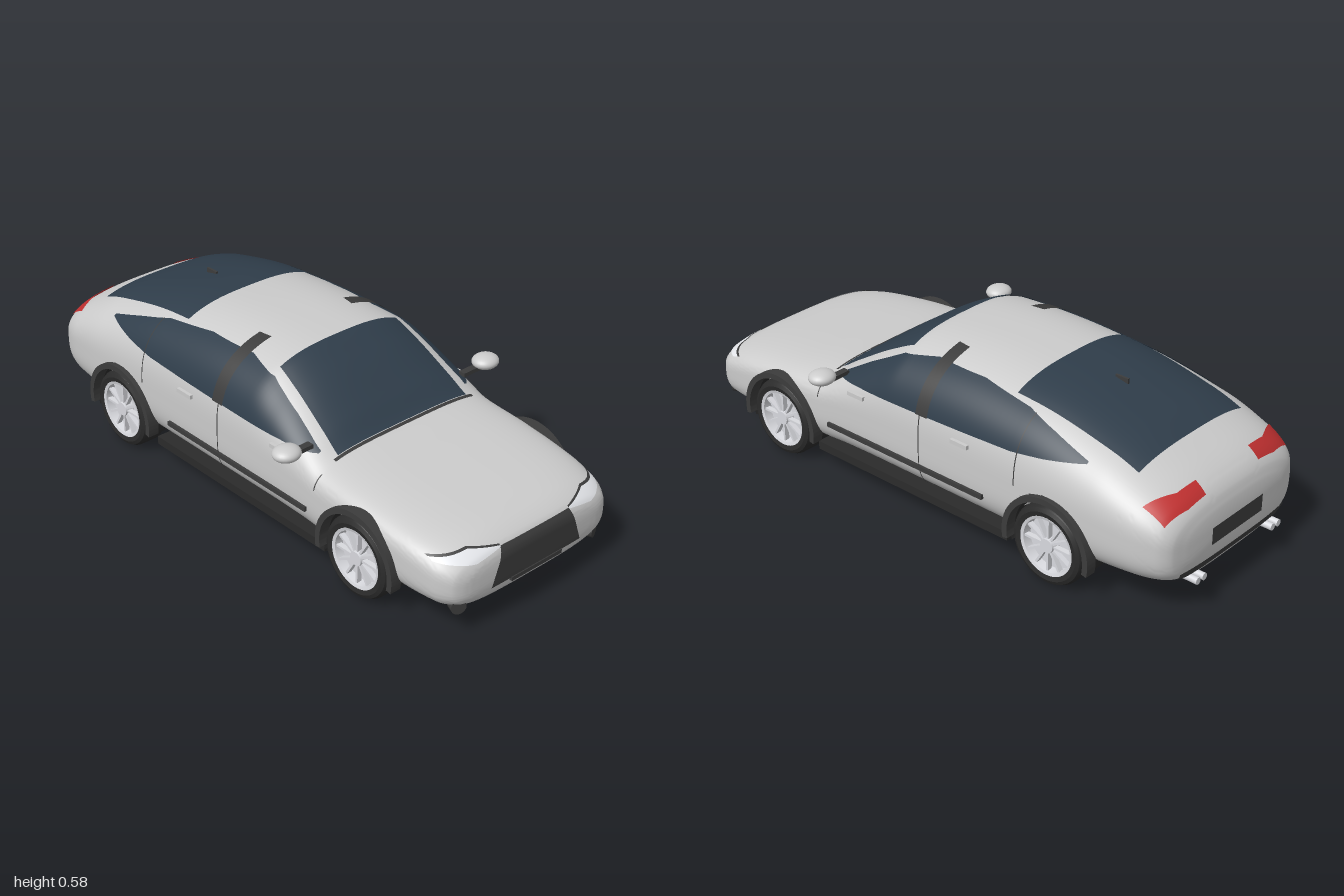
import * as THREE from 'three';
import { toCreasedNormals } from 'three/addons/utils/BufferGeometryUtils.js';

const mat = (color) => new THREE.MeshStandardMaterial({ color, side: THREE.DoubleSide });
const paint = new THREE.MeshStandardMaterial({ color: 0xcccccc });
const glass = mat(0x2f3d4a), trim = mat(0x3c3c3c), rubber = mat(0x2b2b2b);
const red = mat(0xc03030), lens = mat(0xe4e6ea), alloy = mat(0xd8d9de);

// Body stations, tail to nose: x, floor y, widest y, top y, half width, upper roundness
const stations = [
  [-0.98, 0.16, 0.24, 0.31, 0.24, 2.8], [-0.965, 0.115, 0.25, 0.352, 0.31, 2.8],
  [-0.93, 0.1, 0.26, 0.39, 0.345, 2.8], [-0.85, 0.09, 0.27, 0.435, 0.37, 2.8],
  [-0.7, 0.08, 0.28, 0.495, 0.383, 2.8], [-0.4, 0.07, 0.28, 0.56, 0.385, 2.8],
  [-0.1, 0.07, 0.28, 0.578, 0.385, 2.8], [0.1, 0.07, 0.28, 0.57, 0.385, 2.8],
  [0.2, 0.07, 0.28, 0.528, 0.385, 2.8], [0.35, 0.07, 0.27, 0.43, 0.385, 3],
  [0.44, 0.07, 0.25, 0.368, 0.385, 3.6], [0.6, 0.07, 0.24, 0.347, 0.385, 3.8],
  [0.8, 0.07, 0.22, 0.322, 0.38, 3.6], [0.92, 0.075, 0.2, 0.3, 0.365, 3.2],
  [0.975, 0.09, 0.19, 0.275, 0.335, 3], [0.995, 0.115, 0.18, 0.25, 0.29, 3],
  [1, 0.14, 0.18, 0.23, 0.24, 3],
];
const LOWER = 3.5, WHEEL_X = [-0.56, 0.625], WHEEL_Y = 0.137, ARCH = 0.158;

// Monotone cubic interpolation of the station values
function sectionAt(x) {
  const n = stations.length;
  let i = 0;
  while (i < n - 2 && x > stations[i + 1][0]) i++;
  const h = stations[i + 1][0] - stations[i][0];
  const t = THREE.MathUtils.clamp((x - stations[i][0]) / h, 0, 1);
  const value = (k) => {
    const slope = (j) => (stations[j + 1][k] - stations[j][k]) / (stations[j + 1][0] - stations[j][0]);
    const tangent = (j) => {
      if (j === 0) return slope(0);
      if (j === n - 1) return slope(n - 2);
      const a = slope(j - 1), b = slope(j);
      return a * b <= 0 ? 0 : (2 * a * b) / (a + b);
    };
    const t2 = t * t, t3 = t2 * t;
    return (2 * t3 - 3 * t2 + 1) * stations[i][k] + (t3 - 2 * t2 + t) * h * tangent(i)
      + (3 * t2 - 2 * t3) * stations[i + 1][k] + (t3 - t2) * h * tangent(i + 1);
  };
  return { yb: value(1), ym: value(2), yt: value(3), w: value(4), q: value(5) };
}

// Body surface along each axis
function sideZ(x, y) {
  const s = sectionAt(x), up = y > s.ym, p = up ? s.q : LOWER;
  const t = up ? (y - s.ym) / (s.yt - s.ym) : (s.ym - y) / (s.ym - s.yb);
  return t >= 1 ? 0 : s.w * (1 - t ** p) ** (1 / p);
}
function topY(x, z) {
  const s = sectionAt(x), t = Math.min(1, Math.abs(z) / s.w);
  return s.ym + (s.yt - s.ym) * (1 - t ** s.q) ** (1 / s.q);
}
function endX(y, z, end) {
  let inner = 0, outer = end;
  if (sideZ(end, y) > Math.abs(z)) return end;
  for (let i = 0; i < 30; i++) {
    const m = (inner + outer) / 2;
    if (sideZ(m, y) > Math.abs(z)) inner = m; else outer = m;
  }
  return inner;
}
const LIFT = 0.005;
const onSide = (s) => (x, y) => [x, y, s * (sideZ(x, y) + LIFT)];
const onTop = (x, z) => [x, topY(x, z) + LIFT, z];
const onNose = (z, y) => [endX(y, z, 1) + LIFT, y, z];
const onTail = (z, y) => [endX(y, z, -0.98) - LIFT, y, z];

// Point on a polyline, t from 0 to 1
function along(line, t) {
  const f = t * (line.length - 1), i = Math.min(Math.floor(f), line.length - 2), k = f - i;
  return [0, 1].map((c) => line[i][c] * (1 - k) + line[i + 1][c] * k);
}
function gridMesh(name, rows, cols, point, material) {
  const pos = [], idx = [];
  for (let i = 0; i <= rows; i++) for (let j = 0; j <= cols; j++) pos.push(...point(i, j));
  for (let i = 0; i < rows; i++) for (let j = 0; j < cols; j++) {
    const a = i * (cols + 1) + j, c = a + cols + 1;
    idx.push(a, c, a + 1, a + 1, c, c + 1);
  }
  const g = new THREE.BufferGeometry();
  g.setAttribute('position', new THREE.Float32BufferAttribute(pos, 3));
  g.setIndex(idx);
  g.computeVertexNormals();
  return named(name, g, material);
}
function named(name, geometry, material, x = 0, y = 0, z = 0) {
  const m = new THREE.Mesh(geometry, material);
  m.name = name;
  m.position.set(x, y, z);
  return m;
}
// Panel lying on the body between two polylines
function patch(name, a, b, project, material, rows = 24, cols = 12) {
  return gridMesh(name, rows, cols, (i, j) => {
    const p = along(a, i / rows), q = along(b, i / rows), k = j / cols;
    return project(p[0] + (q[0] - p[0]) * k, p[1] + (q[1] - p[1]) * k);
  }, material);
}
const box = (name, w, h, d, material, x, y, z) => named(name, new THREE.BoxGeometry(w, h, d), material, x, y, z);

// Lofted shell with recessed wheel wells and closed ends
function bodyShell() {
  const xs = [], seg = 120, pos = [], idx = [];
  for (let i = 0; i < stations.length - 1; i++) {
    const a = stations[i][0], d = stations[i + 1][0] - a, n = Math.max(4, Math.ceil(d / 0.012));
    for (let k = 0; k < n; k++) xs.push(a + (d * k) / n);
  }
  xs.push(1);
  for (const x of xs) {
    const s = sectionAt(x);
    for (let j = 0; j < seg; j++) {
      const c = Math.cos((j / seg) * Math.PI * 2), v = Math.sin((j / seg) * Math.PI * 2);
      const p = v > 0 ? s.q : LOWER, r = (Math.abs(c) ** p + Math.abs(v) ** p) ** (-1 / p);
      const y = s.ym + r * v * (v > 0 ? s.yt - s.ym : s.ym - s.yb);
      let z = s.w * r * c;
      if (WHEEL_X.some((wx) => Math.hypot(x - wx, y - WHEEL_Y) < ARCH)) z = THREE.MathUtils.clamp(z, -0.27, 0.27);
      pos.push(x, y, z);
    }
  }
  const last = (xs.length - 1) * seg, tail = xs.length * seg;
  pos.push(-0.98, 0.24, 0, 1, 0.18, 0);
  for (let j = 0; j < seg; j++) {
    const k = (j + 1) % seg;
    for (let o = 0; o < last; o += seg) idx.push(o + j, o + seg + j, o + k, o + k, o + seg + j, o + seg + k);
    idx.push(tail, j, k, tail + 1, last + k, last + j);
  }
  const g = new THREE.BufferGeometry();
  g.setAttribute('position', new THREE.Float32BufferAttribute(pos, 3));
  g.setIndex(idx);
  return named('body', toCreasedNormals(g, 0.6), paint);
}

function wheel(name, x, s) {
  const g = new THREE.Group();
  g.name = name;
  const lathe = (pts) => toCreasedNormals(new THREE.LatheGeometry(pts.map((p) => new THREE.Vector2(...p)), 48).rotateX(Math.PI / 2), 0.6);
  g.add(named('tyre', lathe([[0.1, -0.046], [0.118, -0.05], [0.13, -0.044], [0.137, -0.03], [0.137, 0.03], [0.13, 0.044], [0.118, 0.05], [0.1, 0.046]]), rubber));
  g.add(named('rim', lathe([[0, 0.015], [0.088, 0.015], [0.092, 0.044], [0.102, 0.047], [0.102, -0.046], [0.094, -0.046], [0.09, 0], [0, 0]]), alloy));
  for (let i = 0; i < 12; i++) {
    const spoke = named('spoke', new THREE.BoxGeometry(0.075, 0.008, 0.018).translate(0.056, 0, 0), alloy, 0, 0, 0.03);
    spoke.rotation.z = (i / 12) * Math.PI * 2;
    g.add(spoke);
  }
  g.add(named('hub', new THREE.CylinderGeometry(0.024, 0.028, 0.03, 24).rotateX(Math.PI / 2), alloy, 0, 0, 0.03));
  g.position.set(x, WHEEL_Y, s * 0.345);
  if (s < 0) g.rotation.y = Math.PI;
  return g;
}

export function createModel() {
  const car = new THREE.Group();
  car.name = 'car';
  car.add(bodyShell());

  // Glass over the cabin
  car.add(patch('windscreen', [[0.12, -0.25], [0.425, -0.28]], [[0.12, 0.25], [0.425, 0.28]], onTop, glass, 24, 32));
  car.add(patch('rearWindow', [[-0.8, -0.26], [-0.33, -0.26]], [[-0.8, 0.26], [-0.33, 0.26]], onTop, glass, 24, 32));
  car.add(box('aerial', 0.05, 0.022, 0.008, trim, -0.53, 0.545, 0));
  car.add(patch('cowl', [[0.427, -0.3], [0.427, 0.3]], [[0.438, -0.3], [0.438, 0.3]], onTop, trim, 30, 2));

  // Nose and tail
  car.add(patch('grille', [[-0.195, 0.14], [-0.15, 0.265]], [[0.195, 0.14], [0.15, 0.265]], onNose, trim, 16, 24));
  car.add(box('frontPlate', 0.02, 0.014, 0.22, trim, 0.998, 0.135, 0));
  car.add(patch('rearPlate', [[-0.13, 0.2], [-0.13, 0.26]], [[0.13, 0.2], [0.13, 0.26]], onTail, trim, 8, 16));
  car.add(patch('rearBumperStrip', [[-0.27, 0.135], [-0.27, 0.16]], [[0.27, 0.135], [0.27, 0.16]], onTail, trim, 4, 30));

  for (const s of [1, -1]) {
    const side = onSide(s);
    // Side windows, pillar, seams and trim
    car.add(patch('sideWindows',
      [[-0.66, 0.44], [-0.52, 0.418], [-0.4, 0.403], [-0.2, 0.396], [0, 0.39], [0.13, 0.387], [0.26, 0.383], [0.385, 0.372]],
      [[-0.66, 0.446], [-0.52, 0.485], [-0.4, 0.515], [-0.2, 0.538], [0, 0.54], [0.13, 0.518], [0.26, 0.45], [0.385, 0.376]],
      side, glass, 56, 14));
    const raised = (x, y) => { const p = side(x, y); p[2] += s * 0.003; return p; };
    car.add(patch('pillar', [[-0.06, 0.39], [-0.06, 0.566]], [[-0.01, 0.39], [-0.01, 0.566]], raised, trim, 24, 4));
    for (const [x, y0, y1] of [[-0.03, 0.1, 0.39], [-0.43, 0.3, 0.51], [0.435, 0.29, 0.335]])
      car.add(patch('doorSeam', [[x, y0], [x, y1]], [[x + 0.004, y0], [x + 0.004, y1]], raised, trim, 24, 1));
    for (const x of [-0.2, 0.26]) car.add(box('doorHandle', 0.07, 0.014, 0.014, paint, x, 0.355, s * (sideZ(x, 0.355) + 0.004)));
    car.add(box('sideMoulding', 0.69, 0.016, 0.014, trim, 0.05, 0.2, s * 0.385));
    car.add(box('sill', 0.85, 0.03, 0.09, rubber, 0.04, 0.085, s * 0.325));

    // Mirror on a short stalk
    const mirror = named('mirror', new THREE.SphereGeometry(1, 28, 18), paint, 0.362, 0.408, s * 0.433);
    mirror.scale.set(0.044, 0.025, 0.048);
    car.add(mirror, box('mirrorStalk', 0.025, 0.014, 0.09, trim, 0.355, 0.392, s * 0.375));

    // Lamps
    const lampLow = [[s * 0.15, 0.262], [s * 0.25, 0.247], [s * 0.35, 0.26]];
    const lampHigh = [[s * 0.15, 0.266], [s * 0.25, 0.28], [s * 0.35, 0.268]];
    car.add(patch('headlamp', lampLow, lampHigh, onNose, lens, 24, 6));
    car.add(patch('headlampEdge', lampHigh, lampHigh.map(([z, y]) => [z, y + 0.004]), onNose, trim, 24, 1));
    const fog = named('fogLamp', new THREE.CylinderGeometry(0.025, 0.025, 0.03, 28).rotateZ(Math.PI / 2), trim, endX(0.108, 0.295, 1), 0.108, s * 0.295);
    fog.rotation.y = -s * 0.4;
    car.add(fog);
    car.add(patch('tailLamp', [[-0.955, s * 0.135], [-0.955, s * 0.22], [-0.94, s * 0.315]],
      [[-0.915, s * 0.135], [-0.91, s * 0.22], [-0.865, s * 0.325]], onTop, red, 20, 8));
    for (const z of [0.18, 0.212]) car.add(named('exhaust', new THREE.CylinderGeometry(0.012, 0.012, 0.08, 16).rotateZ(Math.PI / 2), alloy, -0.96, 0.12, s * z));

    // Wheels with arch flares and well liners
    WHEEL_X.forEach((x, i) => {
      const flare = new THREE.Shape();
      flare.absarc(0, 0, 0.17, -0.2, Math.PI + 0.2, false);
      flare.absarc(0, 0, 0.15, Math.PI + 0.2, -0.2, true);
      const geo = new THREE.ExtrudeGeometry(flare, { depth: 0.04, bevelEnabled: false, curveSegments: 40 });
      car.add(named('archFlare', toCreasedNormals(geo, 0.5), trim, x, WHEEL_Y, s > 0 ? 0.362 : -0.402));
      const liner = new THREE.CylinderGeometry(0.154, 0.154, 0.12, 40, 1, true, Math.PI / 2 - 0.3, Math.PI + 0.6).rotateX(Math.PI / 2);
      car.add(named('wheelWell', liner, rubber, x, WHEEL_Y, s * 0.32));
      car.add(wheel(i ? 'frontWheel' : 'rearWheel', x, s));
    });
  }
  return car;
}
